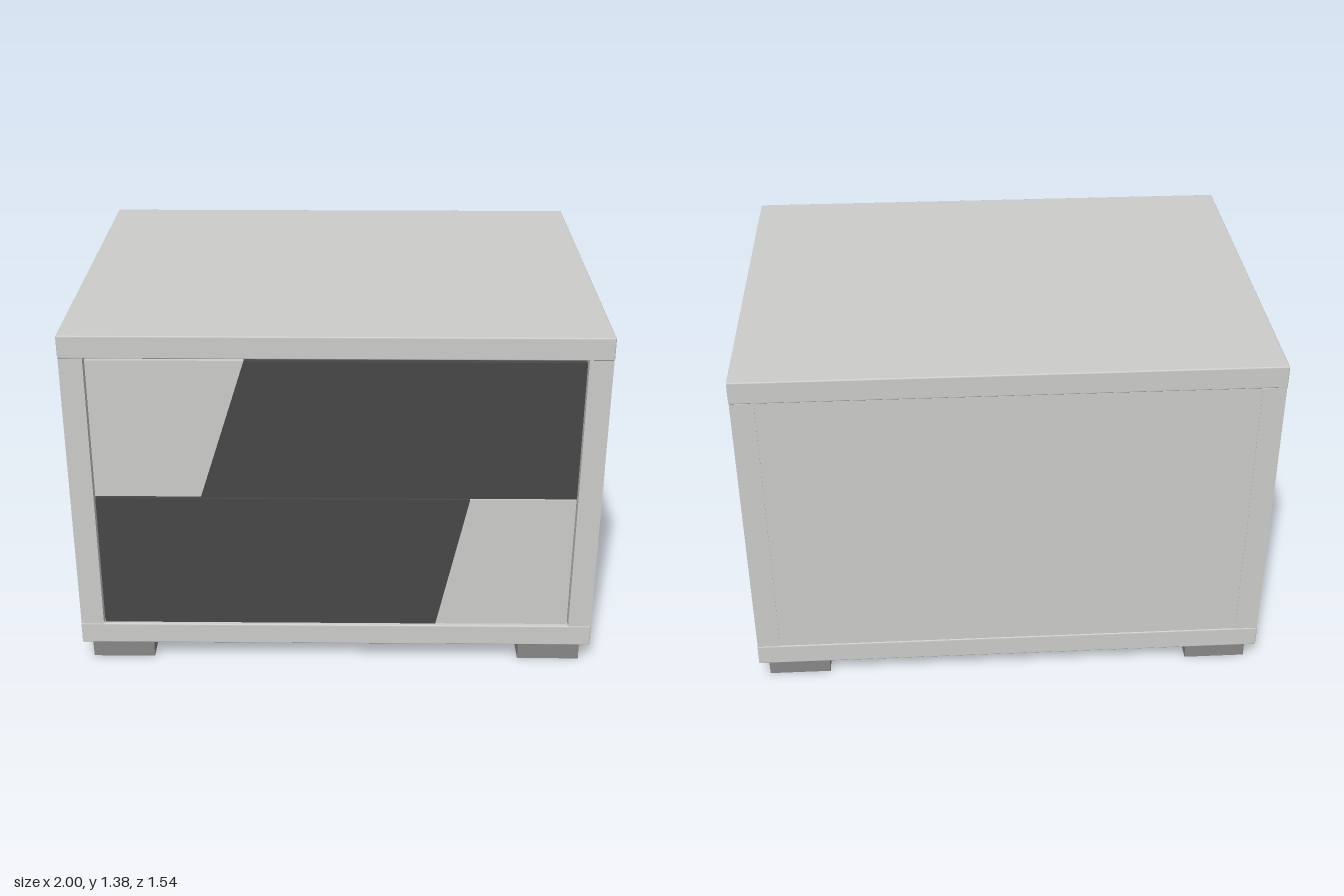
import * as THREE from 'three';
import { RoundedBoxGeometry } from 'three/addons/geometries/RoundedBoxGeometry.js';

const material = (name, color) => {
  const m = new THREE.MeshStandardMaterial({ color });
  m.name = name;
  return m;
};

export function createModel() {
  const group = new THREE.Group();
  group.name = 'nightstand';
  const lightGrey = material('light grey board', 0xcdcdcb);
  const charcoal = material('charcoal front', 0x484848);
  const footGrey = material('mid grey foot', 0x888888);

  const add = (name, geometry, mat) => {
    const mesh = new THREE.Mesh(geometry, mat);
    mesh.name = name;
    group.add(mesh);
    return mesh;
  };

  // Box given by its minimum and maximum corners, with optional eased edges
  const box = (name, [x0, y0, z0], [x1, y1, z1], mat, radius = 0) => {
    const size = [x1 - x0, y1 - y0, z1 - z0];
    const geometry = radius
      ? new RoundedBoxGeometry(...size, 2, radius)
      : new THREE.BoxGeometry(...size);
    add(name, geometry, mat).position.set((x0 + x1) / 2, (y0 + y1) / 2, (z0 + z1) / 2);
  };

  const back = -0.77, front = 0.765;

  // Carcass: top and bottom boards, side walls and back panel
  box('topBoard', [-1, 1.297, back], [1, 1.385, front], lightGrey, 0.005);
  box('bottomBoard', [-1, 0.083, back], [1, 0.17, front], lightGrey, 0.005);
  for (const [name, s] of [['left', 1], ['right', -1]]) {
    const [a, b] = [s * 0.91, s * 0.998].sort((p, q) => p - q);
    box(name + 'SideWall', [a, 0.17, back + 0.001], [b, 1.297, front - 0.001], lightGrey);
  }
  box('backPanel', [-0.91, 0.17, back + 0.003], [0.91, 1.297, back + 0.03], lightGrey);

  // Drawer fronts, each split by a slanted joint into two colours
  const panel = (name, corners, z1, mat) => {
    const shape = new THREE.Shape(corners.map(([x, y]) => new THREE.Vector2(x, y)));
    const depth = 0.08;
    const geometry = new THREE.ExtrudeGeometry(shape, { depth, bevelEnabled: false });
    add(name, geometry, mat).position.z = z1 - depth;
  };
  const w = 0.903;
  const drawer = (name, y0, y1, jointBottom, jointTop, rightPart, leftPart) => {
    panel(name + 'RightPart', [[-w, y0], [jointBottom, y0], [jointTop, y1], [-w, y1]], ...rightPart);
    panel(name + 'LeftPart', [[jointBottom, y0], [w, y0], [w, y1], [jointTop, y1]], ...leftPart);
  };
  drawer('upperDrawer', 0.738, 1.291, -0.505, -0.33, [front - 0.002, lightGrey], [0.77, charcoal]);
  drawer('lowerDrawer', 0.18, 0.73, 0.39, 0.505, [front, charcoal], [front - 0.002, lightGrey]);

  // Four square feet
  for (const x of [-0.843, 0.843]) {
    for (const z of [-0.618, 0.618]) {
      box('foot', [x - 0.121, 0, z - 0.118], [x + 0.121, 0.083, z + 0.118], footGrey);
    }
  }
  return group;
}
